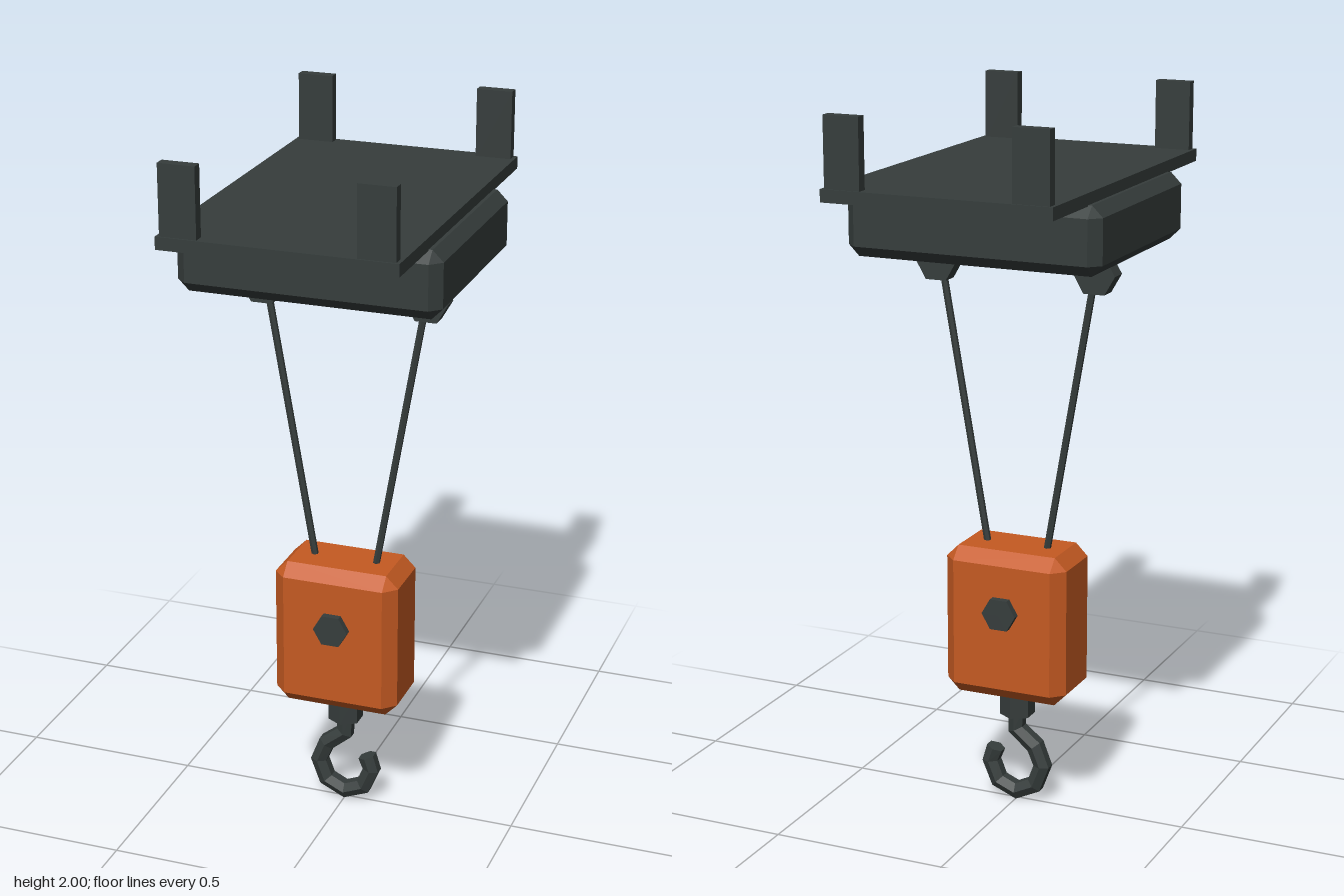
import * as THREE from 'three';
import { ConvexGeometry } from 'three/addons/geometries/ConvexGeometry.js';

const V = (x, y, z) => new THREE.Vector3(x, y, z);

// Box with every edge and corner cut at 45 degrees
function chamferedBox(w, h, d, c) {
  const pts = [];
  for (const sx of [-1, 1]) for (const sy of [-1, 1]) for (const sz of [-1, 1]) {
    const x = w / 2, y = h / 2, z = d / 2;
    pts.push(V(sx * x, sy * (y - c), sz * (z - c)));
    pts.push(V(sx * (x - c), sy * y, sz * (z - c)));
    pts.push(V(sx * (x - c), sy * (y - c), sz * z));
  }
  return new ConvexGeometry(pts);
}

// Six-sided prism along z with corners at left and right
function hexPrism(radius, depth) {
  return new THREE.CylinderGeometry(radius, radius, depth, 6).rotateY(Math.PI / 2).rotateX(Math.PI / 2);
}

// Capped six-sided bar swept along a path in the xy plane
function sweptBar(path, radius) {
  const sides = 6, pos = [], idx = [], last = path.length - 1;
  path.forEach(([x, y], i) => {
    const a = path[Math.max(i - 1, 0)], b = path[Math.min(i + 1, last)];
    const len = Math.hypot(b[0] - a[0], b[1] - a[1]);
    const nx = -(b[1] - a[1]) / len, ny = (b[0] - a[0]) / len;
    for (let k = 0; k < sides; k++) {
      const t = (k / sides) * Math.PI * 2, s = Math.sin(t) * radius;
      pos.push(x + nx * s, y + ny * s, Math.cos(t) * radius);
    }
  });
  for (let i = 0; i < last; i++) for (let k = 0; k < sides; k++) {
    const a = i * sides + k, b = i * sides + (k + 1) % sides;
    idx.push(a, a + sides, b, b, a + sides, b + sides);
  }
  const end = last * sides;
  for (let k = 1; k < sides - 1; k++) {
    idx.push(0, k, k + 1, end, end + k + 1, end + k);
  }
  const g = new THREE.BufferGeometry();
  g.setAttribute('position', new THREE.Float32BufferAttribute(pos, 3));
  g.setIndex(idx);
  const flat = g.toNonIndexed();
  flat.computeVertexNormals();
  return flat;
}

export function createModel() {
  const dark = new THREE.MeshStandardMaterial({ name: 'darkSteel', color: 0x363d3c, flatShading: true });
  const orange = new THREE.MeshStandardMaterial({ name: 'orangePaint', color: 0xc55a22, flatShading: true });

  const model = new THREE.Group();
  model.name = 'hoist';
  const add = (name, geometry, material, x = 0, y = 0, z = 0) => {
    const mesh = new THREE.Mesh(geometry, material);
    mesh.name = name;
    mesh.position.set(x, y, z);
    model.add(mesh);
    return mesh;
  };

  // Trolley: mounting plate, four hangers and motor housing
  add('mountingPlate', new THREE.BoxGeometry(0.64, 0.034, 1.01), dark, 0, 1.795, 0);
  for (const sx of [-1, 1]) for (const sz of [-1, 1]) {
    add('hanger', new THREE.BoxGeometry(0.1, 0.2, 0.03), dark, sx * 0.26, 1.9, sz * 0.485);
  }
  add('housing', chamferedBox(0.72, 0.182, 0.62, 0.03), dark, 0, 1.69, 0);

  // Pulleys and the two cables running down to the block
  for (const s of [-1, 1]) {
    add('pulley', hexPrism(0.06, 0.05), dark, s * 0.232, 1.546, 0);
    const top = V(s * 0.225, 1.54, 0), bottom = V(s * 0.08, 0.7, 0);
    const dir = top.clone().sub(bottom);
    const mid = top.clone().add(bottom).multiplyScalar(0.5);
    const cable = add('cable', new THREE.CylinderGeometry(0.01, 0.01, dir.length(), 6), dark, mid.x, mid.y, 0);
    cable.quaternion.setFromUnitVectors(V(0, 1, 0), dir.normalize());
  }

  // Hook block with its through-bolt
  add('hookBlock', chamferedBox(0.36, 0.43, 0.22, 0.035), orange, 0, 0.549, 0);
  add('bolt', hexPrism(0.05, 0.26), dark, 0, 0.595, 0);

  // Swivel collar and hook
  add('collar', new THREE.CylinderGeometry(0.05, 0.05, 0.1, 6), dark, 0, 0.31, 0);
  add('hook', sweptBar([
    [0, 0.28], [0, 0.215], [-0.056, 0.17], [-0.079, 0.113], [-0.056, 0.052],
    [0, 0.025], [0.056, 0.048], [0.08, 0.106], [0.066, 0.147],
  ], 0.027), dark);

  return model;
}
